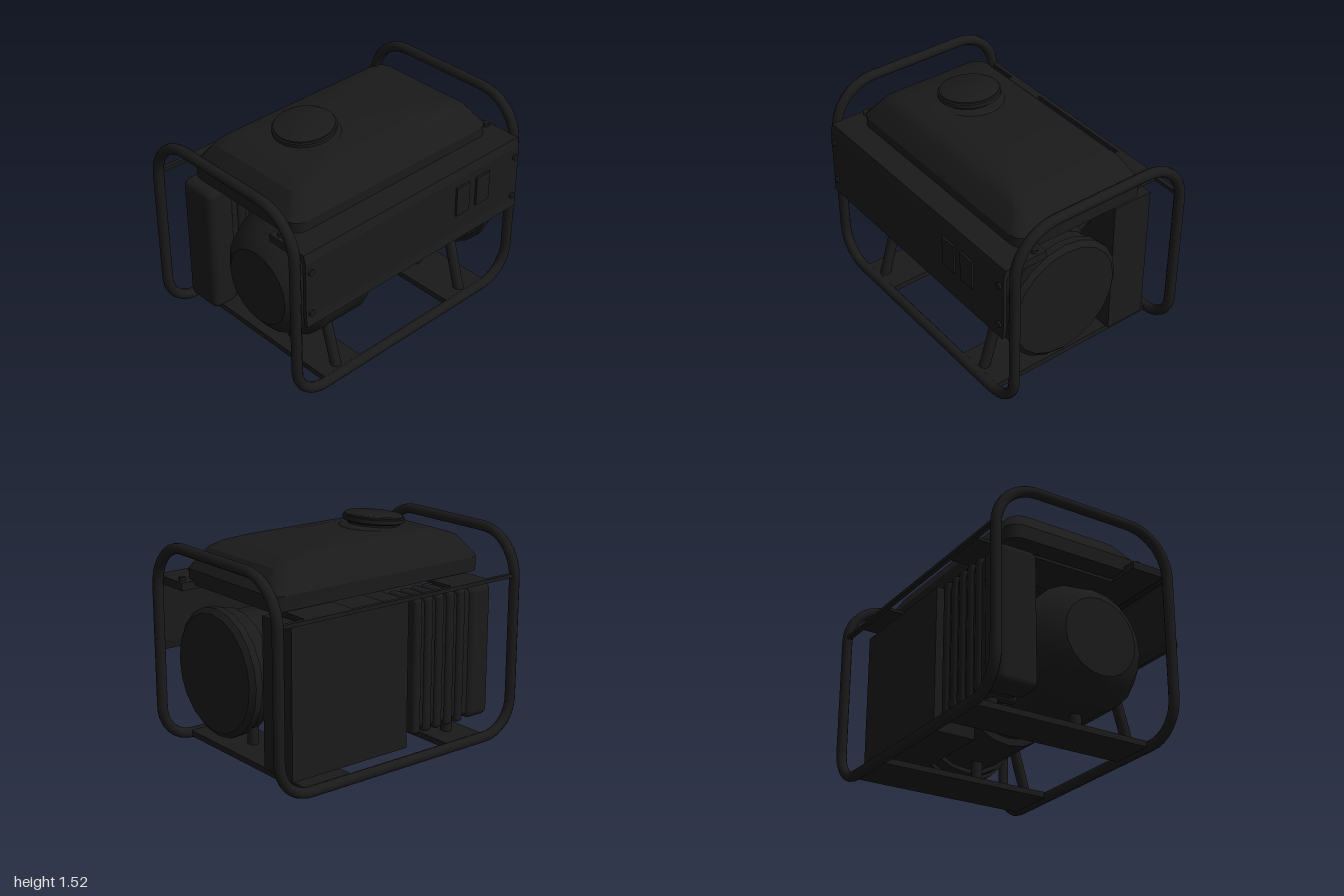
import * as THREE from 'three';
import { toCreasedNormals } from 'three/addons/utils/BufferGeometryUtils.js';
import { RoundedBoxGeometry } from 'three/addons/geometries/RoundedBoxGeometry.js';

const V = (x, y, z) => new THREE.Vector3(x, y, z);

// Closed path through corner points [x, y, z, radius], each corner rounded
function roundedLoop(corners) {
  const path = new THREE.CurvePath();
  const n = corners.length;
  const p = corners.map((c) => V(c[0], c[1], c[2]));
  const toward = (i, j, d) => p[i].clone().add(p[j].clone().sub(p[i]).setLength(d));
  for (let i = 0; i < n; i++) {
    const prev = (i + n - 1) % n, next = (i + 1) % n, r = corners[i][3];
    const a = toward(i, prev, r), b = toward(i, next, r);
    path.add(new THREE.CubicBezierCurve3(a, a.clone().lerp(p[i], 0.552), b.clone().lerp(p[i], 0.552), b));
    path.add(new THREE.LineCurve3(b, toward(next, i, corners[next][3])));
  }
  return path;
}

// Skin over rounded-rectangle rings [y, half width, half depth]
function loftRings(rings, radius, steps = 5) {
  const pos = [], idx = [], n = 4 * (steps + 1);
  for (const [y, hx, hz] of rings) {
    const r = Math.min(radius, hx, hz);
    for (let q = 0; q < 4; q++) {
      const sx = q === 0 || q === 3 ? 1 : -1, sz = q < 2 ? -1 : 1;
      for (let k = 0; k <= steps; k++) {
        const a = (q + k / steps) * Math.PI / 2;
        pos.push(sx * (hx - r) + r * Math.cos(a), y, sz * (hz - r) - r * Math.sin(a));
      }
    }
  }
  for (let i = 0; i < rings.length - 1; i++) {
    for (let j = 0; j < n; j++) {
      const a = i * n + j, b = i * n + (j + 1) % n;
      idx.push(a, b, b + n, a, b + n, a + n);
    }
  }
  const g = new THREE.BufferGeometry();
  g.setAttribute('position', new THREE.Float32BufferAttribute(pos, 3));
  g.setIndex(idx);
  return toCreasedNormals(g, 0.5);
}

export function createModel() {
  const model = new THREE.Group();
  model.name = 'portableGenerator';
  const mat = new THREE.MeshStandardMaterial({ color: 0x1a1a1a });

  const add = (name, geo, x = 0, y = 0, z = 0, parent = model) => {
    const m = new THREE.Mesh(geo, mat);
    m.name = name;
    m.position.set(x, y, z);
    parent.add(m);
    return m;
  };
  // Box given by its minimum and maximum corners
  const box = (name, x0, x1, y0, y1, z0, z1) =>
    add(name, new THREE.BoxGeometry(x1 - x0, y1 - y0, z1 - z0), (x0 + x1) / 2, (y0 + y1) / 2, (z0 + z1) / 2);
  const rod = (name, a, b, r, sides = 14) => {
    const m = add(name, new THREE.CylinderGeometry(r, r, a.distanceTo(b), sides));
    m.position.copy(a).lerp(b, 0.5);
    m.quaternion.setFromUnitVectors(V(0, 1, 0), b.clone().sub(a).normalize());
    return m;
  };
  const lathe = (pts, sides) => toCreasedNormals(
    new THREE.LatheGeometry(pts.map(([r, y]) => new THREE.Vector2(r, y)), sides), 0.5);

  // Tubular frame: two hoops joined by the floor rails
  const L = -0.67, R = 0.62, T = 1.39, B = 0.035, Z = 0.965, rt = 0.3, rb = 0.23;
  add('frame', new THREE.TubeGeometry(roundedLoop([
    [L, T, Z, rt], [R, T, Z, rt], [R, B, Z, rb], [R, B, -Z, rb],
    [R, T, -Z, rt], [L, T, -Z, rt], [L, B, -Z, rb], [L, B, Z, rb],
  ]), 220, 0.035, 10, true));

  // Upper side rails and cross straps under the tank and on the floor
  for (const x of [L, R]) box('sideRail', x - 0.015, x + 0.015, 1.1, 1.125, -Z, Z);
  for (const [z0, z1] of [[0.41, 0.72], [-0.76, -0.4]]) {
    box('floorStrap', L, R, 0.02, 0.06, z0, z1);
    box('tankStrap', L, R, 1.105, 1.125, z0, z1);
  }

  // Fuel tank with crowned top
  add('fuelTank', loftRings([
    [1.13, 0, 0], [1.13, 0.49, 0.845], [1.225, 0.49, 0.845], [1.36, 0.41, 0.745],
    [1.39, 0.375, 0.67], [1.41, 0.33, 0.55], [1.43, 0.2, 0.25], [1.433, 0, 0],
  ], 0.09), 0.01);

  // Filler neck and cap, tipped slightly forward
  const filler = new THREE.Group();
  filler.name = 'fuelFiller';
  filler.position.set(0, 1.42, 0.315);
  filler.rotation.x = 0.1;
  model.add(filler);
  add('fillerNeck', lathe([[0.25, -0.03], [0.22, 0], [0.17, 0.01], [0.17, 0.04]], 28), 0, 0, 0, filler);
  add('fuelCap', lathe([[0, 0.025], [0.185, 0.025], [0.205, 0.035], [0.205, 0.06],
    [0.195, 0.065], [0.195, 0.074], [0.18, 0.082], [0, 0.082]], 28), 0, 0, 0, filler);

  // Engine and alternator barrel along z
  const barrel = add('engineBarrel', lathe([
    [0, -0.868], [0.39, -0.868], [0.425, -0.84], [0.425, -0.79], [0.4, -0.79], [0.4, -0.69],
    [0.37, -0.69], [0.37, -0.17], [0.32, -0.17], [0.32, 0.3], [0.425, 0.3], [0.425, 0.67],
    [0.35, 0.8], [0.26, 0.868], [0, 0.868],
  ], 20), 0.15, 0.6);
  barrel.rotation.x = Math.PI / 2;

  // Barrel supports: upright post and slanted brace at each end
  for (const z of [0.58, -0.57]) {
    rod('supportPost', V(0.15, 0.05, z), V(0.15, 0.3, z), 0.038);
    rod('supportBrace', V(0.555, 0.05, z), V(0.44, 0.45, z), 0.036);
  }

  // Air box behind, ribbed muffler in front
  box('airBox', -0.58, -0.29, 0.08, 1.07, -0.8, 0.12);
  box('airBoxLid', -0.57, -0.3, 1.065, 1.08, -0.72, -0.05);
  add('mufflerEnd', new RoundedBoxGeometry(0.28, 0.92, 0.2, 3, 0.05), -0.435, 0.6, 0.76);
  add('mufflerCore', new RoundedBoxGeometry(0.24, 0.88, 0.54, 2, 0.04), -0.435, 0.6, 0.45);
  for (let i = 0; i < 5; i++) {
    add('mufflerRib', new RoundedBoxGeometry(0.28, 0.92, 0.072, 3, 0.03), -0.435, 0.6, 0.218 + i * 0.094);
  }
  rod('mufflerFoot', V(-0.46, 0.05, 0.58), V(-0.46, 0.2, 0.58), 0.04);

  // Ducts from the barrel to muffler and air box
  for (const z of [0.48, -0.5]) {
    rod('duct', V(-0.36, 0.93, z), V(-0.12, 0.79, z), 0.09, 18);
    rod('ductCollar', V(-0.19, 0.83, z), V(-0.08, 0.766, z), 0.1, 18);
  }

  // Control panel: folded sheet with top flange and bottom lip
  const sheet = new THREE.Shape([
    [0.37, 1.105], [0.655, 1.105], [0.66, 1.08], [0.66, 0.7], [0.67, 0.64], [0.695, 0.64],
    [0.685, 0.7], [0.685, 1.1], [0.67, 1.158], [0.37, 1.158],
  ].map(([x, y]) => new THREE.Vector2(x, y)));
  add('controlPanel', new THREE.ExtrudeGeometry(sheet, { depth: 1.88, bevelEnabled: false }), 0, 0, -0.94);
  for (const z of [-0.4, -0.585]) box('socket', 0.67, 0.699, 0.83, 1.04, z - 0.06, z + 0.06);

  // Panel and flange bolts
  for (const z of [0.9, -0.9]) {
    for (const y of [1.03, 0.73]) rod('panelBolt', V(0.67, y, z), V(0.699, y, z), 0.022, 10);
    rod('flangeBolt', V(0.43, 1.15, z), V(0.43, 1.18, z), 0.022, 8);
  }
  return model;
}
